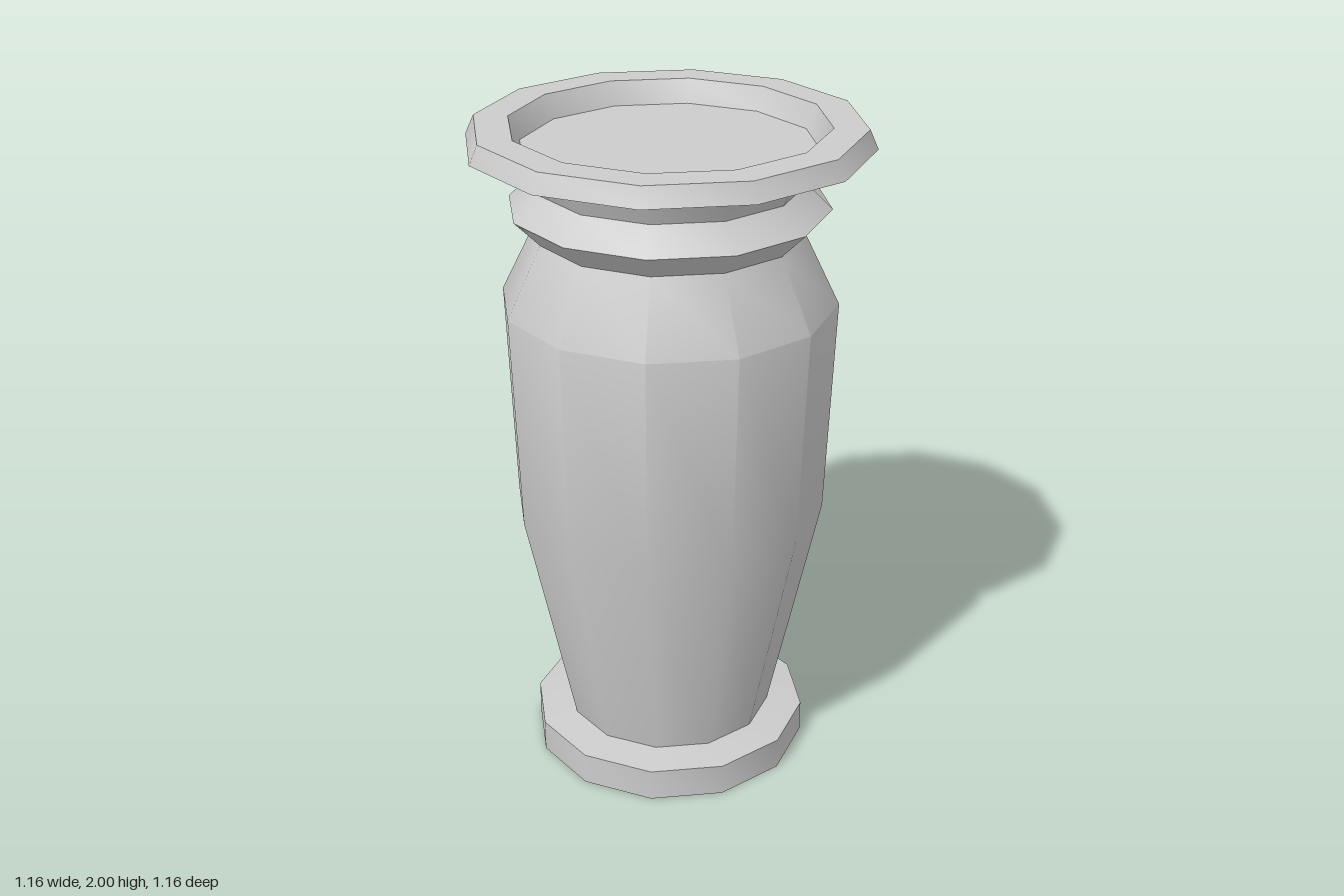
import * as THREE from 'three';
import { toCreasedNormals } from 'three/addons/utils/BufferGeometryUtils.js';

const SIDES = 12;

export function createModel() {
  const group = new THREE.Group();
  const material = new THREE.MeshStandardMaterial({ color: 0xcccccc });

  // Turns a [radius, height] profile; smooth around, sharp at strong bends
  const turn = (name, profile) => {
    const points = profile.map(([r, y]) => new THREE.Vector2(r, y));
    const geometry = toCreasedNormals(new THREE.LatheGeometry(points, SIDES), 0.6);
    const mesh = new THREE.Mesh(geometry, material);
    mesh.name = name;
    group.add(mesh);
  };

  // Foot disc, closed underneath, with a slightly raised top
  turn('foot', [[0, 0], [0.425, 0], [0.425, 0.1], [0.317, 0.113]]);

  // Tapering belly and shoulder
  turn('body', [[0.317, 0.113], [0.467, 0.825], [0.491, 1.483], [0.388, 1.692]]);

  // Pointed ring around the neck
  turn('neckRing', [[0.388, 1.692], [0.462, 1.767], [0.388, 1.838]]);

  // Flaring neck below the rim
  turn('neck', [[0.388, 1.838], [0.43, 1.928]]);

  // Wide rim with a shallow recess closed by a flat floor
  turn('rim', [[0.43, 1.928], [0.58, 1.945], [0.555, 2], [0.456, 2], [0.425, 1.932], [0, 1.932]]);

  return group;
}
